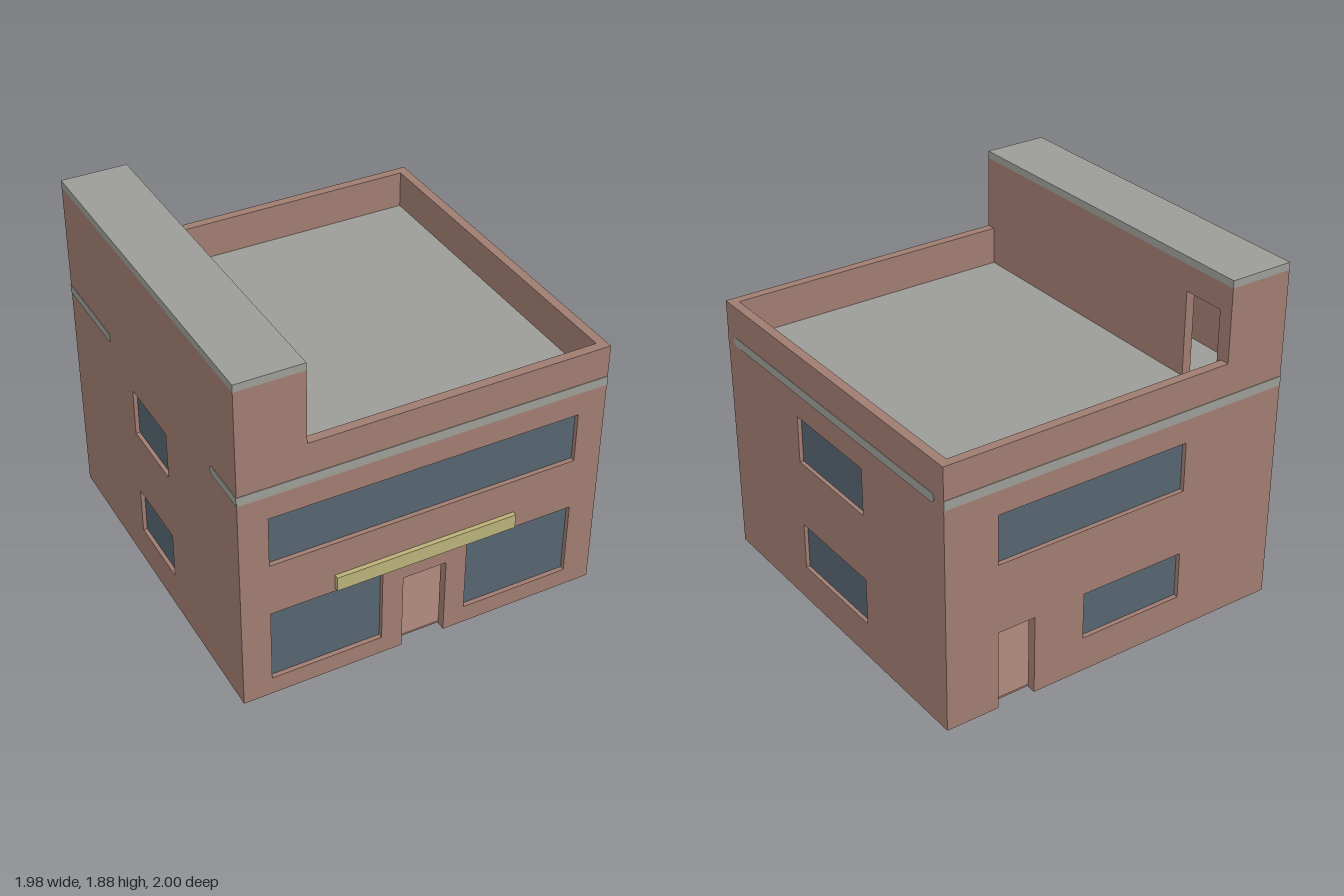
import * as THREE from 'three';

const mat = (name, color) => {
  const m = new THREE.MeshStandardMaterial({ color });
  m.name = name;
  return m;
};

export function createModel() {
  const brick = mat('brick', 0x9f7c70);
  const grey = mat('concrete grey', 0x9c9c97);
  const glass = mat('window blue', 0x55636f);
  const yellow = mat('sign yellow', 0xb9b078);

  const model = new THREE.Group();
  model.name = 'building';

  // Outer extents, wall thickness and main levels
  const X = 0.9875, ZB = -1, ZF = 0.975, T = 0.05;
  const PARAPET = 1.445, DECK = 1.24, TOWER = 1.84, TOWER_X = -0.635;

  const add = (name, geometry, material) => {
    const m = new THREE.Mesh(geometry, material);
    m.name = name;
    model.add(m);
    return m;
  };
  const box = (name, material, x0, x1, y0, y1, z0, z1) => {
    const m = add(name, new THREE.BoxGeometry(x1 - x0, y1 - y0, z1 - z0), material);
    m.position.set((x0 + x1) / 2, (y0 + y1) / 2, (z0 + z1) / 2);
    return m;
  };
  const polygon = (pts) => new THREE.Shape(pts.map(([x, y]) => new THREE.Vector2(x, y)));
  const rect = (a, b, c, d) => [[a, c], [b, c], [b, d], [a, d]];

  // Wall panel with window holes; windows are [a0, a1, y0, y1]
  const wall = (name, outline, windows) => {
    const shape = polygon(outline);
    windows.forEach((w) => shape.holes.push(polygon(rect(...w))));
    return add(name, new THREE.ExtrudeGeometry(shape, { depth: T, bevelEnabled: false }), brick);
  };

  // Outline with a tall left part and a door notch in the bottom edge
  const gable = (d0, d1) => [
    [-X, 0], [d0, 0], [d0, 0.44], [d1, 0.44], [d1, 0], [X, 0],
    [X, PARAPET], [TOWER_X, PARAPET], [TOWER_X, TOWER], [-X, TOWER],
  ];

  // Front and back walls with recessed glass
  const frontWindows = [[-0.835, 0.835, 0.81, 1.09], [-0.835, -0.235, 0.1, 0.515], [0.235, 0.835, 0.1, 0.515]];
  const backWindows = [[-0.4, 0.695, 0.82, 1.09], [-0.4, 0.195, 0.195, 0.455]];
  wall('frontWall', gable(-0.12, 0.12), frontWindows).position.z = ZF - T;
  wall('backWall', gable(0.485, 0.695), backWindows).position.z = ZB;
  frontWindows.forEach(([a, b, c, d]) => box('frontWindow', glass, a, b, c, d, ZF - 0.034, ZF - 0.025));
  backWindows.forEach(([a, b, c, d]) => box('backWindow', glass, a, b, c, d, ZB + 0.025, ZB + 0.034));

  // Side walls, drawn in z and y
  const sideWall = (name, outerX, height, z0, z1) => {
    const windows = [[z0, z1, 0.83, 1.09], [z0, z1, 0.2, 0.46]];
    const w = wall(name, rect(ZB + T, ZF - T, 0, height), windows);
    w.rotation.y = -Math.PI / 2;
    w.position.x = outerX;
    const gx = outerX - T / 2;
    windows.forEach(([a, b, c, d]) => box('sideWindow', glass, gx - 0.004, gx + 0.004, c, d, a, b));
  };
  sideWall('leftWall', X, PARAPET, -0.305, 0.29);
  sideWall('rightWall', -X + T, TOWER, -0.215, 0.185);

  // Tower inner wall with a doorway to the roof
  const towerWall = wall('towerInnerWall', [
    [ZB + T, DECK], [-0.92, DECK], [-0.92, 1.7], [-0.68, 1.7], [-0.68, DECK],
    [ZF - T, DECK], [ZF - T, TOWER], [ZB + T, TOWER],
  ], []);
  towerWall.rotation.y = -Math.PI / 2;
  towerWall.position.x = TOWER_X;

  // Tower cap, roof deck and inside floors
  box('towerCap', grey, -X, TOWER_X, TOWER, 1.88, ZB, ZF);
  box('roofDeck', grey, -X + T, X - T, DECK - 0.04, DECK, ZB + T, ZF - T);
  box('upperFloor', brick, -X + T, X - T, 0.6, 0.64, ZB + T, ZF - T);
  box('groundFloor', brick, -X + T, X - T, 0.004, 0.015, ZB + T, ZF - T);

  // Sign board above the entrance
  box('signBoard', yellow, -0.495, 0.495, 0.535, 0.615, ZF, 1);

  // Flat bar from a to b with optional rounded ends
  const bar = (a, b, r, depth, roundA = true, roundB = true) => {
    const s = new THREE.Shape();
    s.moveTo(roundA ? a + r : a, -r);
    if (roundB) s.absarc(b - r, 0, r, -Math.PI / 2, Math.PI / 2, false);
    else s.lineTo(b, -r).lineTo(b, r);
    if (roundA) s.absarc(a + r, 0, r, Math.PI / 2, Math.PI * 1.5, false);
    else s.lineTo(a, r).lineTo(a, -r);
    return new THREE.ExtrudeGeometry(s, { depth, bevelEnabled: false, curveSegments: 8 });
  };

  // Thin grey string course around the walls
  const BY = 1.245, P = 0.003;
  box('frontBand', grey, -X, X, 1.22, 1.27, ZF - P, ZF + P);
  box('backBand', grey, -X, X, 1.22, 1.27, ZB - P, ZB + P);
  const sideBand = (x, z0, z1, roundBack, roundFront) => {
    const m = add('sideBand', bar(z0, z1, 0.024, 2 * P, roundBack, roundFront), grey);
    m.rotation.y = -Math.PI / 2;
    m.position.set(x + P, BY, 0);
  };
  sideBand(X, -0.925, 0.91, true, true);
  sideBand(-X, ZB, -0.47, false, true);
  sideBand(-X, 0.7, ZF, true, false);

  // Low rounded counters on the ground floor: [x, z, length, radius, height, along z]
  [
    [0.5, -0.15, 0.7, 0.055, 0.28, false],
    [-0.155, -0.9, 0.88, 0.025, 0.36, false],
    [0.865, 0.55, 0.5, 0.03, 0.28, true],
    [-0.05, 0.31, 0.68, 0.028, 0.28, false],
    [-0.69, 0.11, 1.1, 0.03, 0.28, true],
    [-0.79, 0.63, 0.26, 0.04, 0.28, false],
  ].forEach(([x, z, len, r, h, alongZ]) => {
    const g = bar(-len / 2, len / 2, r, h);
    g.rotateX(-Math.PI / 2);
    if (alongZ) g.rotateY(Math.PI / 2);
    add('counter', g, grey).position.set(x, 0, z);
  });

  return model;
}
